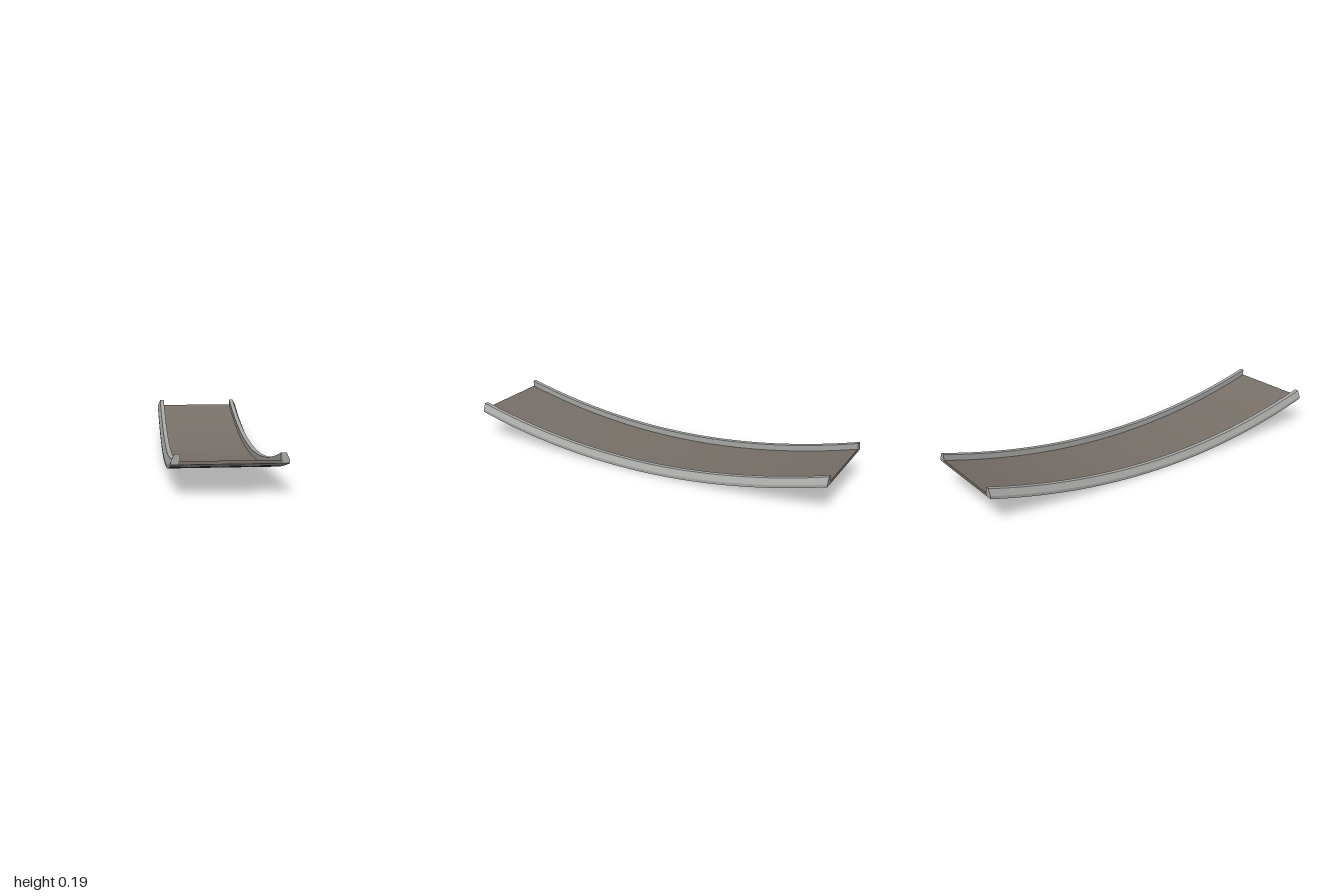
import * as THREE from 'three';

const LENGTH = 2, RISE = 0.142, STEPS = 40;

// Extrude a cross-section along z, then bend it into a shallow upward curve
function bentSweep(points) {
  const shape = new THREE.Shape(points.map(([x, y]) => new THREE.Vector2(x, y)));
  const geo = new THREE.ExtrudeGeometry(shape, { depth: LENGTH, steps: STEPS, bevelEnabled: false });
  geo.translate(0, 0, -LENGTH / 2);
  const pos = geo.attributes.position, nor = geo.attributes.normal;
  const n = new THREE.Vector3();
  for (let i = 0; i < pos.count; i++) {
    const z = pos.getZ(i);
    pos.setY(i, pos.getY(i) + RISE * z * z);
    // Tilt the normals with the bend so the curve stays smooth
    n.fromBufferAttribute(nor, i);
    n.z -= 2 * RISE * z * n.y;
    n.normalize();
    nor.setXYZ(i, n.x, n.y, n.z);
  }
  return geo;
}

export function createModel() {
  const group = new THREE.Group();
  group.name = 'curvedTrack';
  const rim = new THREE.MeshStandardMaterial({ name: 'light grey', color: 0xa8a8a6 });
  const deck = new THREE.MeshStandardMaterial({ name: 'warm grey', color: 0x787069 });

  // Tray: thin underside with a chamfered kerb along each side
  const half = [[0.22, 0.001], [0.22, 0.015], [0.212, 0.015], [0.212, 0.046], [0.235, 0.046], [0.25, 0.015], [0.25, 0]];
  const mirrored = half.map(([x, y]) => [-x, y]).reverse();
  const tray = new THREE.Mesh(bentSweep([...half.slice().reverse(), ...mirrored.slice().reverse()]), rim);
  tray.name = 'kerbsAndUnderside';
  group.add(tray);

  // Running surface set between the kerbs
  const floor = new THREE.Mesh(bentSweep([[-0.22, 0.001], [0.22, 0.001], [0.22, 0.015], [-0.22, 0.015]]), deck);
  floor.name = 'deck';
  group.add(floor);

  return group;
}
